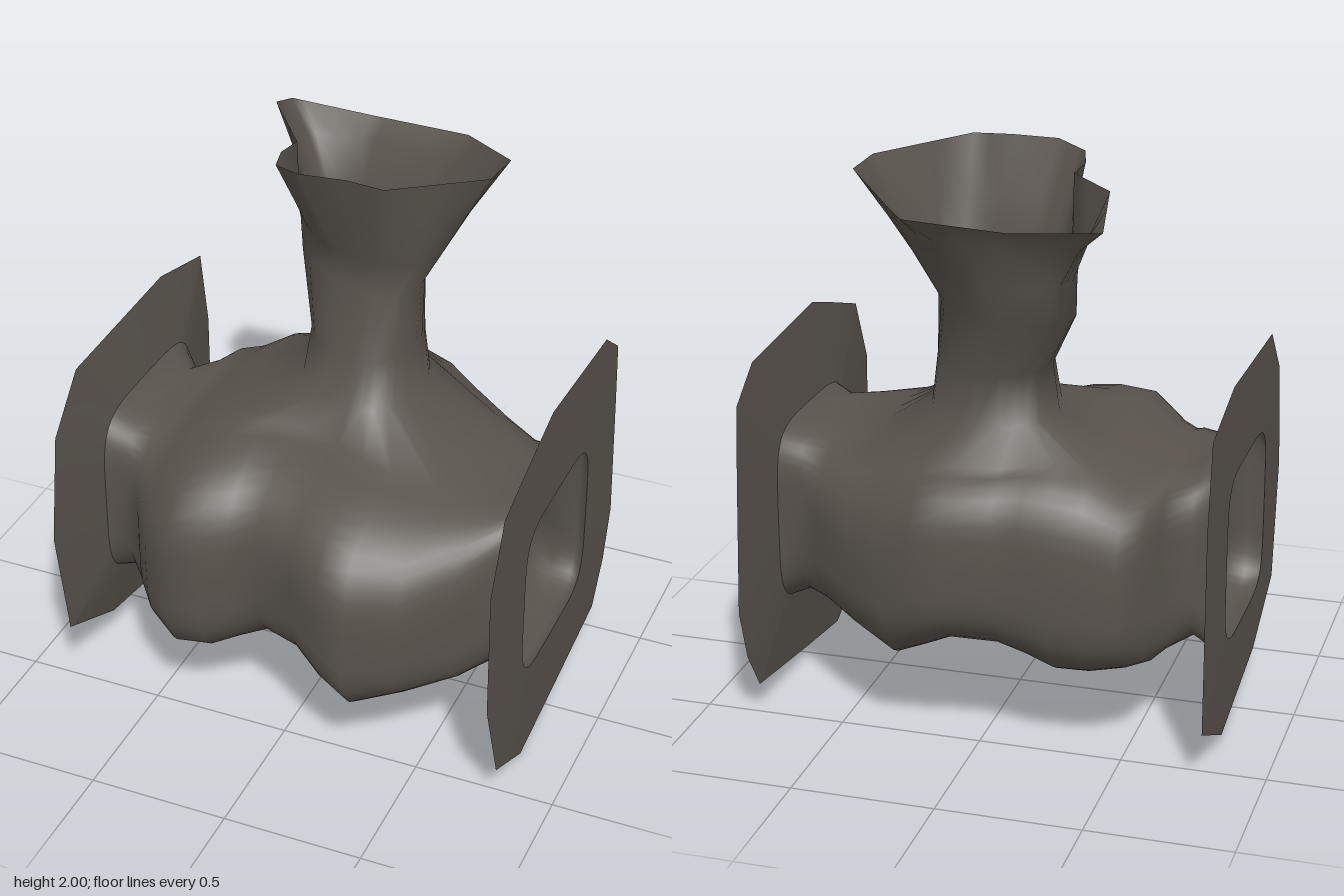
import * as THREE from 'three';

const iron = new THREE.MeshStandardMaterial({ color: 0x59534c, side: THREE.DoubleSide });
iron.name = 'darkIron';

const N = 48; // points around the body

// Body stations along x: x, back z, front z, bottom y, top y, squareness
const STATIONS = [
  [-0.805, -0.30, 0.34, 0.35, 0.96, 5],
  [-0.75, -0.36, 0.345, 0.33, 1.02, 4.5],
  [-0.68, -0.30, 0.32, 0.34, 0.96, 4],
  [-0.60, -0.41, 0.40, 0.31, 0.97, 3.2],
  [-0.57, -0.55, 0.45, 0.30, 0.97, 2.8],
  [-0.50, -0.61, 0.54, 0.28, 0.98, 2.7],
  [-0.38, -0.64, 0.63, 0.25, 1.06, 2.7],
  [-0.27, -0.65, 0.61, 0.25, 1.08, 2.7],
  [-0.18, -0.65, 0.57, 0.29, 1.08, 2.7],
  [-0.08, -0.66, 0.53, 0.33, 1.06, 2.7],
  [0.08, -0.71, 0.61, 0.35, 1.06, 2.7],
  [0.19, -0.68, 0.67, 0.29, 1.05, 2.7],
  [0.30, -0.65, 0.70, 0.23, 1.04, 2.6],
  [0.46, -0.55, 0.62, 0.28, 0.99, 2.5],
  [0.61, -0.41, 0.49, 0.33, 0.97, 2.8],
  [0.71, -0.32, 0.33, 0.35, 0.97, 4],
  [0.775, -0.35, 0.34, 0.33, 1.0, 4.5],
  [0.815, -0.31, 0.34, 0.35, 0.96, 5],
];

// Opening in the body under the neck, as station and angle ranges
const HOLE = { i0: 6, i1: 13, j0: 10, j1: 17 };

// Neck cross-sections: y, left/right x, back/front z, diagonal skew
const NECK = [
  [1.13, -0.20, 0.26, -0.44, 0.09, 0.15],
  [1.30, -0.18, 0.24, -0.42, 0.05, 0.2],
  [1.52, -0.30, 0.23, -0.53, -0.04, 0.5],
  [1.65, -0.30, 0.30, -0.56, -0.02, 0.4],
];

// Uneven funnel rim: x, z, y
const RIM = [
  [0.46, -0.18, 1.96], [0.19, 0.08, 1.99], [-0.06, 0.07, 2.0], [-0.11, 0.085, 1.99],
  [-0.22, 0.02, 1.97], [-0.25, -0.09, 1.96], [-0.24, -0.2, 1.95], [-0.42, -0.43, 1.96],
  [-0.45, -0.63, 1.88], [-0.15, -0.65, 1.86], [0.22, -0.62, 1.87], [0.47, -0.35, 1.95],
];

// Flange outlines: z, y
const LEFT_OUTLINE = [
  [0.29, 0.0], [0.55, 0.13], [0.67, 0.47], [0.68, 0.94], [0.57, 1.18], [0.32, 1.26],
  [0.12, 1.32], [-0.45, 1.28], [-0.6, 1.17], [-0.62, 0.92], [-0.65, 0.44],
  [-0.59, 0.25], [-0.49, 0.1], [-0.04, 0.04],
];
const RIGHT_OUTLINE = [
  [0.25, 0.12], [0.57, 0.27], [0.64, 0.7], [0.58, 1.08], [0.41, 1.26], [-0.24, 1.28],
  [-0.56, 1.2], [-0.61, 0.9], [-0.61, 0.19], [-0.28, 0.03],
];

// Where a ray from (cu, cv) leaves a closed polygon; a third value is interpolated
function rayHit(poly, cu, cv, du, dv) {
  let best = null, bestT = -1;
  poly.forEach((a, k) => {
    const b = poly[(k + 1) % poly.length];
    const eu = b[0] - a[0], ev = b[1] - a[1];
    const den = du * ev - dv * eu;
    if (Math.abs(den) < 1e-9) return;
    const t = ((a[0] - cu) * ev - (a[1] - cv) * eu) / den;
    const s = ((a[0] - cu) * dv - (a[1] - cv) * du) / den;
    if (t > bestT && t > 0 && s >= -1e-6 && s <= 1 + 1e-6) {
      bestT = t;
      best = a.map((v, n) => v + (b[n] - v) * s);
    }
  });
  return best;
}

// Sample a polygon along given directions, keeping its corners
function polygonRing(poly, cu, cv, directions) {
  const ring = directions.map(([du, dv]) => rayHit(poly, cu, cv, du, dv));
  const hits = ring.slice();
  for (const corner of poly) {
    const gaps = hits.map((p) => Math.hypot(p[0] - corner[0], p[1] - corner[1]));
    ring[gaps.indexOf(Math.min(...gaps))] = corner;
  }
  return ring;
}

// Extra squareness of the rounded body in each quarter of its section
function fullness(x, c, s) {
  if (s < 0) return c > 0 ? 1.5 : 1.2;
  return c < 0 && x < 0.25 ? 1.25 : 1;
}

// Rounded-square ring at one station
function bodyRing([x, z0, z1, y0, y1, n]) {
  return Array.from({ length: N }, (_, j) => {
    const t = (j / N) * Math.PI * 2;
    const c = Math.cos(t), s = Math.sin(t);
    const e = 2 / (n < 4 ? n * fullness(x, c, s) : n);
    const z = (z0 + z1) / 2 + ((z1 - z0) / 2) * Math.sign(c) * Math.abs(c) ** e;
    let y = (y0 + y1) / 2 + ((y1 - y0) / 2) * Math.sign(s) * Math.abs(s) ** e;
    // Dent in the underside between the lobes
    if (s < 0) y += 0.09 * Math.exp(-((x / 0.15) ** 2) - ((z + 0.15) / 0.25) ** 2);
    return [x, y, z];
  });
}

function makeMesh(name, points, index) {
  const geo = new THREE.BufferGeometry();
  geo.setAttribute('position', new THREE.Float32BufferAttribute(points.flat(), 3));
  geo.setIndex(index);
  geo.computeVertexNormals();
  const mesh = new THREE.Mesh(geo, iron);
  mesh.name = name;
  return mesh;
}

// Strip of quads between two closed rings
function ringStrip(name, a, b, flip) {
  const n = a.length, index = [];
  for (let j = 0; j < n; j++) {
    const k = (j + 1) % n;
    if (flip) index.push(j, k, n + k, j, n + k, n + j);
    else index.push(j, n + j, n + k, j, n + k, k);
  }
  return makeMesh(name, [...a, ...b], index);
}

// Hollow body and open neck as one continuous shell
function buildShell() {
  const points = STATIONS.flatMap(bodyRing);
  const index = [];
  const { i0, i1, j0, j1 } = HOLE;
  for (let i = 0; i < STATIONS.length - 1; i++) {
    for (let j = 0; j < N; j++) {
      if (i >= i0 && i < i1 && j >= j0 && j < j1) continue;
      const k = (j + 1) % N;
      const a = i * N + j, b = a + N, c = (i + 1) * N + k, d = i * N + k;
      index.push(a, b, c, a, c, d);
    }
  }

  // Walk round the opening
  let loop = [];
  for (let i = i0; i < i1; i++) loop.push(i * N + j0);
  for (let j = j0; j < j1; j++) loop.push(i1 * N + j);
  for (let i = i1; i > i0; i--) loop.push(i * N + j1);
  for (let j = j1; j > j0; j--) loop.push(i0 * N + j);
  const angles = loop.map((p) => Math.atan2((points[p][2] + 0.17) / 0.36, (points[p][0] - 0.04) / 0.42));

  // Raise the neck ring by ring, flaring to the rim
  const rings = NECK.map(([y, x0, x1, z0, z1, skew]) => angles.map((a) => [
    (x0 + x1) / 2 + ((x1 - x0) / 2) * Math.cos(a - skew / 2), y,
    (z0 + z1) / 2 + ((z1 - z0) / 2) * Math.sin(a + skew / 2),
  ]));
  const rim = polygonRing(RIM, 0.02, -0.27, angles.map((a) => [Math.cos(a), Math.sin(a)]))
    .map(([x, z, y]) => [x, y, z]);
  const throat = rings[rings.length - 1];
  const flare = throat.map(([x, , z], k) => [x + (rim[k][0] - x) * 0.45, 1.79, z + (rim[k][2] - z) * 0.45]);
  rings.push(flare, rim);
  for (const ring of rings) {
    const start = points.length;
    points.push(...ring);
    const next = ring.map((_, k) => start + k);
    loop.forEach((p, k) => {
      const m = (k + 1) % loop.length;
      index.push(p, loop[m], next[m], p, next[m], next[k]);
    });
    loop = next;
  }
  return makeMesh('bodyAndNeck', points, index);
}

// Thin end flange: flat outer face and a back tapering to the rim
function buildFlange(name, outline, x, endStation, collarStation, flip) {
  const hole = bodyRing(endStation);
  const rim = polygonRing(outline, 0.01, 0.65, hole.map(([, y, z]) => [z - 0.01, y - 0.65]))
    .map(([z, y]) => [x, y, z]);
  const group = new THREE.Group();
  group.name = name;
  group.add(ringStrip('flangeFace', rim, hole, flip));
  group.add(ringStrip('flangeBack', bodyRing(collarStation), rim, flip));
  return group;
}

export function createModel() {
  const model = new THREE.Group();
  model.name = 'pipeValveBody';
  model.add(buildShell());
  model.add(buildFlange('leftFlange', LEFT_OUTLINE, 0.81, STATIONS.at(-1), STATIONS.at(-2), false));
  model.add(buildFlange('rightFlange', RIGHT_OUTLINE, -0.8, STATIONS[0], STATIONS[1], true));
  return model;
}
